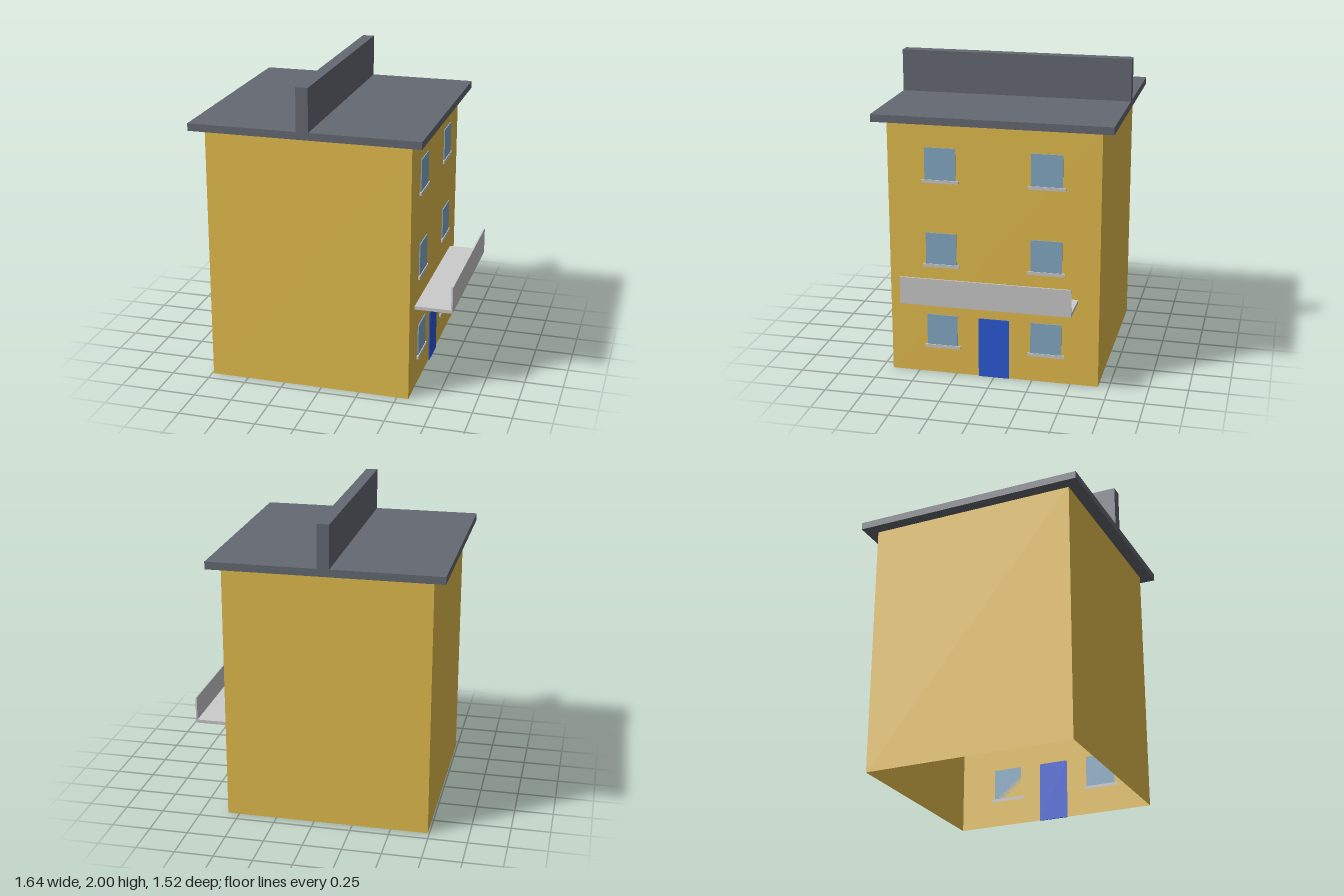
import * as THREE from 'three';

const mat = (color) => new THREE.MeshStandardMaterial({ color });
const WALL_X = 0.575; // plane of the facade

export function createModel() {
  const house = new THREE.Group();
  house.name = 'house';
  const yellow = mat(0xe6bf4e);
  yellow.side = THREE.DoubleSide;
  const slate = mat(0x656a73);
  const glass = mat(0x86abc8);
  const blue = mat(0x2c5ad9);
  const grey = mat(0xcccccc);

  // Box given by its limits on each axis
  function box(name, material, [x0, x1], [y0, y1], [z0, z1], parent = house) {
    const mesh = new THREE.Mesh(new THREE.BoxGeometry(x1 - x0, y1 - y0, z1 - z0), material);
    mesh.position.set((x0 + x1) / 2, (y0 + y1) / 2, (z0 + z1) / 2);
    mesh.name = name;
    parent.add(mesh);
    return mesh;
  }

  // Walls: a shell open at the bottom and under the roof
  const walls = box('walls', yellow, [-0.74, WALL_X], [0, 1.68], [-0.68, 0.68]);
  const index = Array.from(walls.geometry.index.array);
  index.splice(12, 12); // drop the top and bottom faces
  walls.geometry.setIndex(index);

  // Flat roof with a tall ridge wall
  box('roof', slate, [-0.82, 0.652], [1.677, 1.725], [-0.76, 0.76]);
  box('roofRidge', slate, [-0.122, -0.045], [1.725, 2], [-0.76, 0.76]);

  // Two windows with sills on each floor
  for (const y of [0.195, 0.75, 1.308]) {
    for (const z of [-0.34, 0.34]) {
      const unit = new THREE.Group();
      unit.name = 'window';
      house.add(unit);
      box('pane', glass, [WALL_X, 0.582], [y, y + 0.207], [z - 0.1, z + 0.1], unit);
      box('sill', grey, [WALL_X, 0.587], [y - 0.021, y], [z - 0.12, z + 0.12], unit);
    }
  }

  // Door
  box('door', blue, [WALL_X, 0.583], [0, 0.4], [-0.1, 0.1]);

  // Balcony above the door
  box('balconyFloor', grey, [WALL_X, 0.812], [0.56, 0.582], [-0.544, 0.544]);
  box('balconyParapet', grey, [0.808, 0.818], [0.56, 0.737], [-0.544, 0.544]);

  return house;
}
